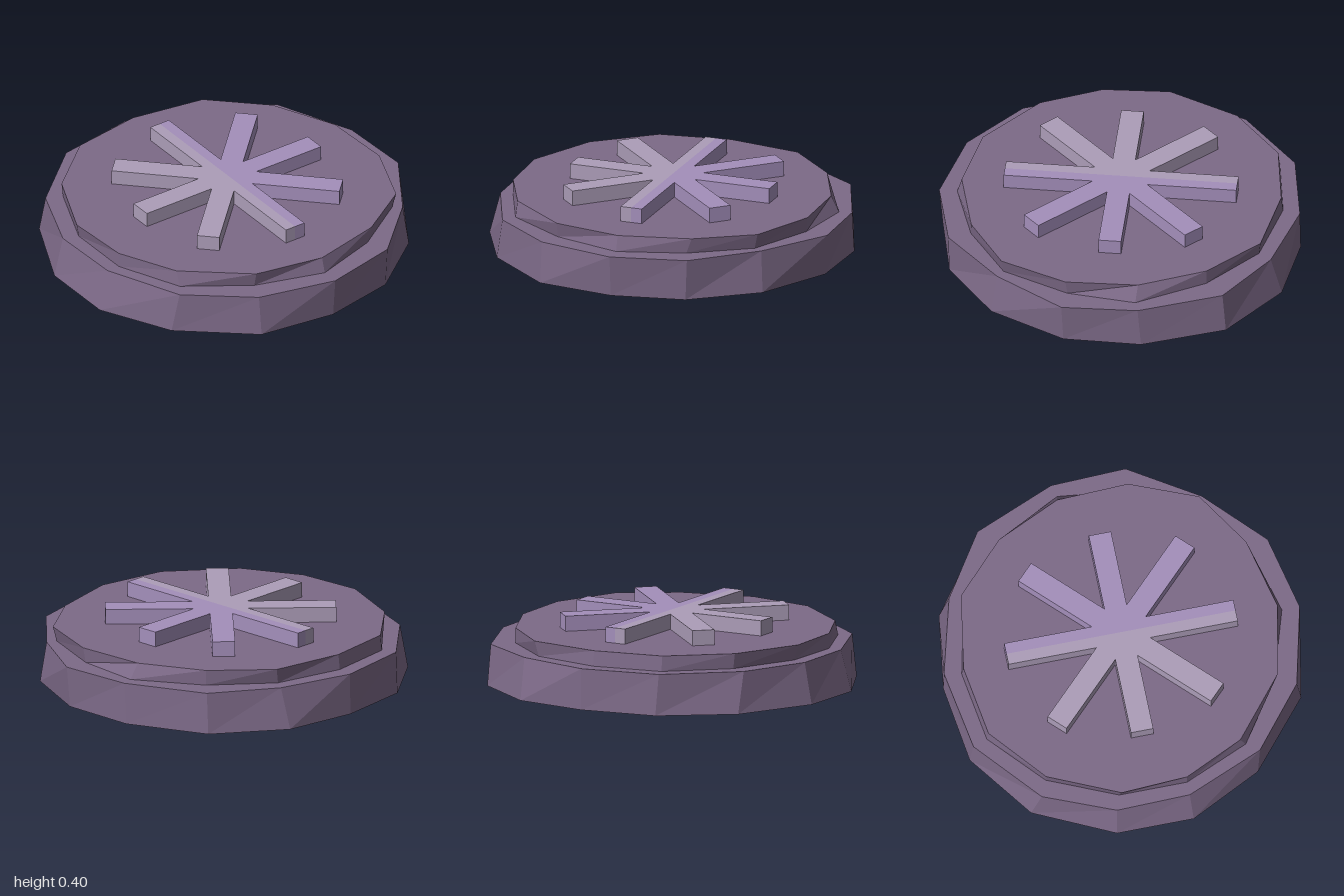
import * as THREE from 'three';

// Outlines as [x, z], clockwise from the back, seen from above
const BASE_LOW = [[0.02, -1], [0.44, -0.94], [0.81, -0.67], [0.99, -0.22], [0.985, 0.21], [0.78, 0.63], [0.43, 0.9],
  [0.02, 0.98], [-0.42, 0.92], [-0.8, 0.6], [-1, 0.2], [-1, -0.23], [-0.79, -0.67], [-0.42, -0.94]];
const BASE_HIGH = [[0.02, -0.995], [0.45, -0.88], [0.8, -0.65], [0.985, -0.2], [1, 0.22], [0.76, 0.6], [0.44, 0.905],
  [0.02, 1], [-0.42, 0.895], [-0.76, 0.62], [-0.94, 0.19], [-0.95, -0.22], [-0.79, -0.61], [-0.43, -0.92]];
const TIER_LOW = [[0, -0.9], [0.4, -0.81], [0.7, -0.55], [0.915, -0.18], [0.87, 0.2], [0.71, 0.57], [0.39, 0.785],
  [0.02, 0.9], [-0.37, 0.78], [-0.71, 0.55], [-0.865, 0.19], [-0.865, -0.19], [-0.7, -0.57], [-0.4, -0.84]];
const TIER_HIGH = [[0, -0.89], [0.42, -0.82], [0.7, -0.55], [0.865, -0.19], [0.88, 0.21], [0.73, 0.58], [0.42, 0.78],
  [0.02, 0.875], [-0.37, 0.8], [-0.71, 0.52], [-0.865, 0.19], [-0.885, -0.18], [-0.71, -0.57], [-0.4, -0.83]];

const paint = (color) => new THREE.MeshStandardMaterial({ color, flatShading: true });

// Closed faceted disc between two outlines
function disc(name, low, high, y0, y1, material) {
  const pos = [];
  const bottom = low.map(([x, z]) => [x, y0, z]);
  const top = high.map(([x, z]) => [x, y1, z]);
  for (let a = 0; a < low.length; a++) {
    const b = (a + 1) % low.length;
    pos.push(...bottom[b], ...bottom[a], ...top[a], ...bottom[b], ...top[a], ...top[b]);
    pos.push(0, y1, 0, ...top[b], ...top[a], 0, y0, 0, ...bottom[a], ...bottom[b]);
  }
  const geometry = new THREE.BufferGeometry();
  geometry.setAttribute('position', new THREE.Float32BufferAttribute(pos, 3));
  geometry.computeVertexNormals();
  const mesh = new THREE.Mesh(geometry, material);
  mesh.name = name;
  return mesh;
}

// Half of the eight-armed star, on the +x side (side = 1) or the -x side (side = -1)
function halfStar(name, side, material) {
  const half = 0.0625;
  const notch = half / Math.sin(Math.PI / 8);
  const lengths = [0.643, 0.635, 0.588, 0.635, 0.643];
  const pts = [];
  lengths.forEach((length, i) => {
    const angle = -Math.PI / 2 + i * Math.PI / 4;
    const c = Math.cos(angle), s = Math.sin(angle);
    const widths = i === 0 ? [0, half] : i === 4 ? [-half, 0] : [-half, half];
    for (const w of widths) pts.push([length * c - w * s, length * s + w * c]);
    if (i < 4) {
      const between = angle + Math.PI / 8;
      pts.push([notch * Math.cos(between), notch * Math.sin(between)]);
    }
  });
  const shape = new THREE.Shape(pts.map(([x, y]) => new THREE.Vector2(side * x, y)));
  const geometry = new THREE.ExtrudeGeometry(shape, { depth: 0.085, bevelEnabled: false });
  geometry.rotateX(-Math.PI / 2);
  const mesh = new THREE.Mesh(geometry, material);
  mesh.name = name;
  return mesh;
}

export function createModel() {
  const model = new THREE.Group();
  model.name = 'steppedDisc';
  const stone = paint(0x7d6a88);

  // Two stacked, slightly irregular tiers
  model.add(disc('base', BASE_LOW, BASE_HIGH, 0, 0.23, stone));
  model.add(disc('upperTier', TIER_LOW, TIER_HIGH, 0.23, 0.315, stone));

  // Raised two-tone star
  const star = new THREE.Group();
  star.name = 'star';
  star.position.set(0.007, 0.315, -0.005);
  star.add(halfStar('starLeftHalf', 1, paint(0xa48fbb)));
  star.add(halfStar('starRightHalf', -1, paint(0xac9db8)));
  model.add(star);
  return model;
}
